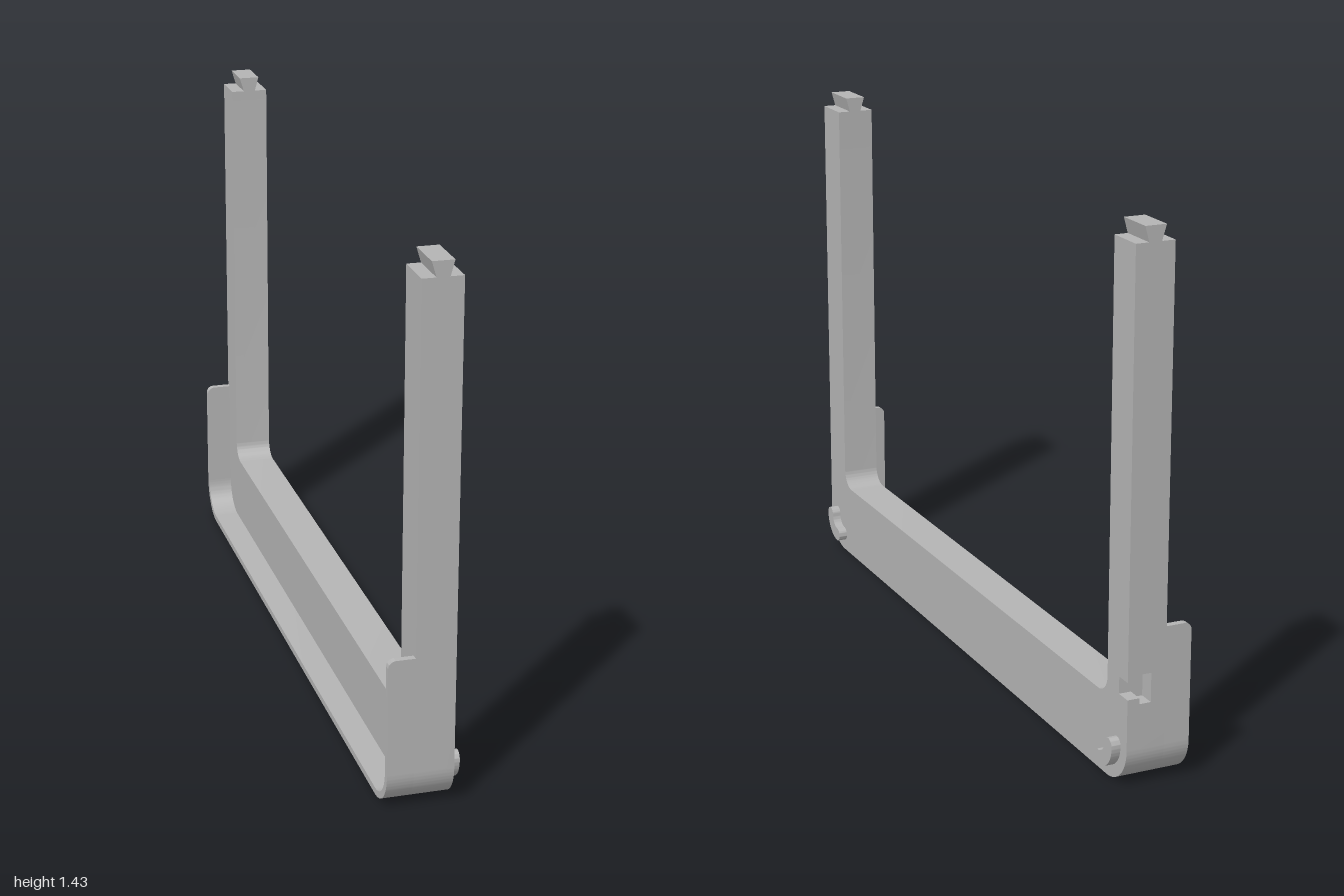
import * as THREE from 'three';
import { toCreasedNormals } from 'three/addons/utils/BufferGeometryUtils.js';

const R = 0.105;            // outer corner radius
const X0 = -0.03, X1 = 0.075; // frame thickness range
const LIP_X = -0.1, LIP_T = 0.018, LIP_TOP = 0.42;
const ARM_TOP = 1.39, TOP = 1.43;
const HALF_PI = Math.PI / 2;

export function createModel() {
  const grey = new THREE.MeshStandardMaterial({ color: 0xb4b4b4 });
  grey.name = 'grey';
  const group = new THREE.Group();
  group.name = 'uFrame';

  const extrude = (shape, depth) =>
    new THREE.ExtrudeGeometry(shape, { depth, bevelEnabled: false, curveSegments: 16 });
  const add = (name, geometry) => {
    const mesh = new THREE.Mesh(toCreasedNormals(geometry, 0.5), grey);
    mesh.name = name;
    group.add(mesh);
  };
  // Side profile drawn in (-z, y), extruded from xa to xb
  const addSide = (name, shape, xa, xb) =>
    add(name, extrude(shape, xb - xa).rotateY(HALF_PI).translate(xa, 0, 0));
  // Front profile drawn in (x, y), extruded from za to zb
  const addFront = (name, shape, za, zb) =>
    add(name, extrude(shape, zb - za).translate(0, 0, za));
  const polygon = (pts) => new THREE.Shape(pts.map(([x, y]) => new THREE.Vector2(x, y)));

  // Main U frame, with a bite at the rear arm filled by the slot block below
  const frontIn = -0.88, backIn = 0.893, floor = 0.215, r = 0.05;
  const slotU = 0.955, slotLow = 0.2, slotHigh = 0.33;
  const u = new THREE.Shape();
  u.moveTo(-1, ARM_TOP);
  u.lineTo(-1, R);
  u.absarc(-1 + R, R, R, Math.PI, 1.5 * Math.PI, false);
  u.lineTo(1 - R, 0);
  u.absarc(1 - R, R, R, -HALF_PI, 0, false);
  u.lineTo(1, slotLow);
  u.lineTo(slotU, slotLow);
  u.lineTo(slotU, slotHigh);
  u.lineTo(1, slotHigh);
  u.lineTo(1, ARM_TOP);
  u.lineTo(backIn, ARM_TOP);
  u.lineTo(backIn, floor + r);
  u.absarc(backIn - r, floor + r, r, 0, -HALF_PI, true);
  u.lineTo(frontIn + r, floor);
  u.absarc(frontIn + r, floor + r, r, -HALF_PI, -Math.PI, true);
  u.lineTo(frontIn, ARM_TOP);
  u.closePath();
  addSide('frame', u, X0, X1);

  // Block with a T-shaped slot open to the side and the rear
  addFront('slotBlock', polygon([
    [X0, slotLow], [X1, slotLow], [X1, 0.242], [0.042, 0.242], [0.042, 0.226], [0.01, 0.226],
    [0.01, 0.304], [0.042, 0.304], [0.042, 0.288], [X1, 0.288], [X1, slotHigh], [X0, slotHigh],
  ]), -1, -slotU);

  // Thin lip following the bottom and its rounded corners
  const lip = new THREE.Shape();
  lip.moveTo(-1, R);
  lip.absarc(-1 + R, R, R, Math.PI, 1.5 * Math.PI, false);
  lip.lineTo(1 - R, 0);
  lip.absarc(1 - R, R, R, -HALF_PI, 0, false);
  lip.lineTo(1 - LIP_T, R);
  lip.absarc(1 - R, R, R - LIP_T, 0, -HALF_PI, true);
  lip.lineTo(-1 + R, LIP_T);
  lip.absarc(-1 + R, R, R - LIP_T, -HALF_PI, -Math.PI, true);
  lip.closePath();
  addSide('bottomLip', lip, LIP_X, X0);

  // Upright ends of the lip with a rounded top corner
  const tab = new THREE.Shape();
  const c = 0.02;
  tab.moveTo(LIP_X, R);
  tab.lineTo(X0, R);
  tab.lineTo(X0, LIP_TOP);
  tab.lineTo(LIP_X + c, LIP_TOP);
  tab.absarc(LIP_X + c, LIP_TOP - c, c, HALF_PI, Math.PI, false);
  tab.closePath();
  addFront('frontLip', tab, 1 - LIP_T, 1);
  addFront('backLip', tab, -1, -1 + LIP_T);

  // Dovetail keys on the arm tops
  const key = polygon([[0.006, ARM_TOP], [0.04, ARM_TOP], [0.051, TOP], [-0.006, TOP]]);
  addFront('frontDovetail', key, -frontIn, 1);
  addFront('backDovetail', key, -1, -backIn);

  // Curved pegs concentric with the outer corners
  const pegR = 0.053, w = 0.02;
  const addPeg = (name, cu, start) => {
    const end = start + HALF_PI;
    const peg = new THREE.Shape();
    peg.absarc(cu, R, pegR + w, start, end, false);
    peg.absarc(cu + pegR * Math.cos(end), R + pegR * Math.sin(end), w, end, end + Math.PI, false);
    peg.absarc(cu, R, pegR - w, end, start, true);
    peg.absarc(cu + pegR * Math.cos(start), R + pegR * Math.sin(start), w, start + Math.PI, start + 2 * Math.PI, false);
    addSide(name, peg, X1, 0.1);
  };
  addPeg('frontPeg', -1 + R, Math.PI);
  addPeg('backPeg', 1 - R, -HALF_PI);

  return group;
}
